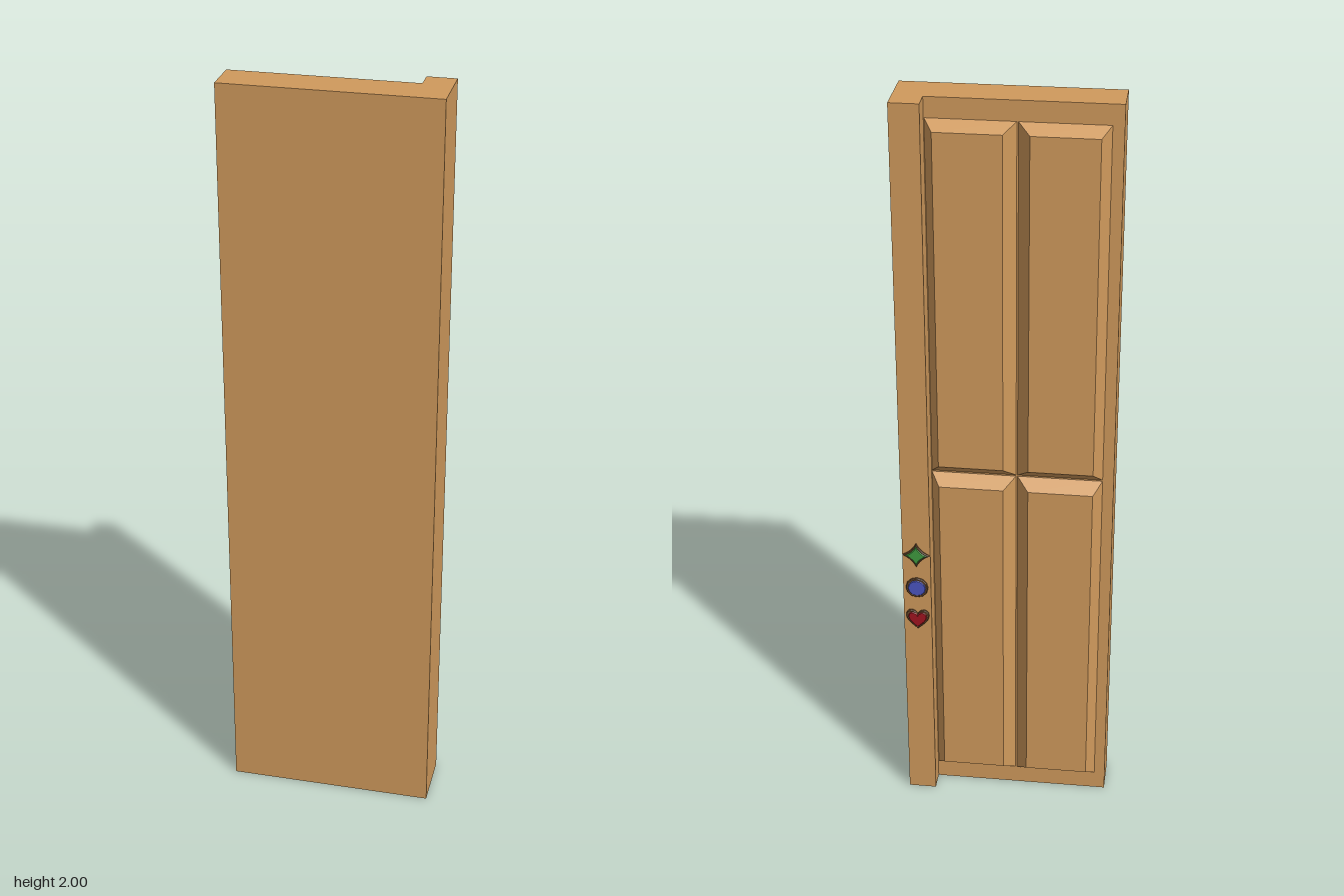
import * as THREE from 'three';

const mat = (color) => new THREE.MeshStandardMaterial({ color, flatShading: true });
const wood = mat(0xd09a5c);
const rimMat = mat(0x6b4a2c);

// Box given by its minimum and maximum corners
function block(name, [x0, y0, z0], [x1, y1, z1]) {
  const geo = new THREE.BoxGeometry(x1 - x0, y1 - y0, z1 - z0);
  geo.translate((x0 + x1) / 2, (y0 + y1) / 2, (z0 + z1) / 2);
  const mesh = new THREE.Mesh(geo, wood);
  mesh.name = name;
  return mesh;
}

// Raised panel: a box whose back face is drawn in on every side
function raisedPanel(name, outer, inner) {
  const mesh = block(name, [outer.x0, outer.y0, -0.053], [outer.x1, outer.y1, -0.02]);
  const p = mesh.geometry.attributes.position;
  const midX = (outer.x0 + outer.x1) / 2, midY = (outer.y0 + outer.y1) / 2;
  for (let i = 0; i < p.count; i++) {
    if (p.getZ(i) > -0.04) continue;
    p.setX(i, p.getX(i) < midX ? inner.x0 : inner.x1);
    p.setY(i, p.getY(i) < midY ? inner.y0 : inner.y1);
  }
  mesh.geometry.computeVertexNormals();
  return mesh;
}

// Four-pointed star with curved-in sides
function starShape(r) {
  const s = new THREE.Shape();
  const k = r * 0.3;
  s.moveTo(r, 0);
  s.quadraticCurveTo(k, k, 0, r);
  s.quadraticCurveTo(-k, k, -r, 0);
  s.quadraticCurveTo(-k, -k, 0, -r);
  s.quadraticCurveTo(k, -k, r, 0);
  return s;
}

function discShape(r) {
  return new THREE.Shape().absarc(0, 0, r, 0, Math.PI * 2, false);
}

function heartShape(r) {
  const s = new THREE.Shape();
  s.moveTo(0, -r);
  s.bezierCurveTo(r * 0.4, -r * 0.6, r, -r * 0.2, r, r * 0.35);
  s.bezierCurveTo(r, r * 1.05, r * 0.2, r * 1.05, 0, r * 0.5);
  s.bezierCurveTo(-r * 0.2, r * 1.05, -r, r * 1.05, -r, r * 0.35);
  s.bezierCurveTo(-r, -r * 0.2, -r * 0.4, -r * 0.6, 0, -r);
  return s;
}

// Thin plate with a bevelled outer edge
function plate(name, shape, depth, bevel, material) {
  const geo = new THREE.ExtrudeGeometry(shape, {
    depth, bevelEnabled: true, bevelThickness: bevel, bevelSize: bevel,
    bevelOffset: -bevel, bevelSegments: 1, curveSegments: 6,
  });
  const mesh = new THREE.Mesh(geo, material);
  mesh.name = name;
  return mesh;
}

// Dark setting with a coloured stone, facing the back
function ornament(name, shapeOf, r, y, color) {
  const g = new THREE.Group();
  g.name = name;
  const stone = plate(name + 'Stone', shapeOf(r * 0.8), 0.003, 0.002, mat(color));
  stone.position.z = 0.003;
  g.add(plate(name + 'Setting', shapeOf(r), 0.004, 0.002, rimMat), stone);
  g.rotation.y = Math.PI;
  g.position.set(0.235, y, -0.075);
  return g;
}

export function createModel() {
  const model = new THREE.Group();
  model.name = 'panelledDoor';

  // Slab and the thicker stile along one edge
  const profile = new THREE.Shape([
    [-0.272, -0.081], [0.272, -0.081], [0.272, 0.075],
    [0.198, 0.075], [0.198, 0.022], [-0.272, 0.022],
  ].map(([x, y]) => new THREE.Vector2(x, y)));
  const slabGeo = new THREE.ExtrudeGeometry(profile, { depth: 2, bevelEnabled: false });
  slabGeo.rotateX(-Math.PI / 2);
  const slab = new THREE.Mesh(slabGeo, wood);
  slab.name = 'doorSlab';
  model.add(slab);

  // Two by two raised panels
  const columns = [
    { side: 'Right', x0: -0.245, x1: -0.023, ix0: -0.221, ix1: -0.055 },
    { side: 'Left', x0: -0.023, x1: 0.198, ix0: 0.009, ix1: 0.175 },
  ];
  const rows = [
    { level: 'lower', y0: 0.05, y1: 1, iy0: 0.075, iy1: 0.97 },
    { level: 'upper', y0: 1, y1: 1.95, iy0: 1.03, iy1: 1.925 },
  ];
  for (const c of columns) for (const r of rows) {
    model.add(raisedPanel(`${r.level}${c.side}Panel`,
      { x0: c.x0, x1: c.x1, y0: r.y0, y1: r.y1 },
      { x0: c.ix0, x1: c.ix1, y0: r.iy0, y1: r.iy1 }));
  }

  // Ornaments on the stile
  model.add(
    ornament('starOrnament', starShape, 0.036, 0.773, 0x3f9a3f),
    ornament('roundOrnament', discShape, 0.03, 0.672, 0x4a55c0),
    ornament('heartOrnament', heartShape, 0.031, 0.573, 0xa01420),
  );
  return model;
}
